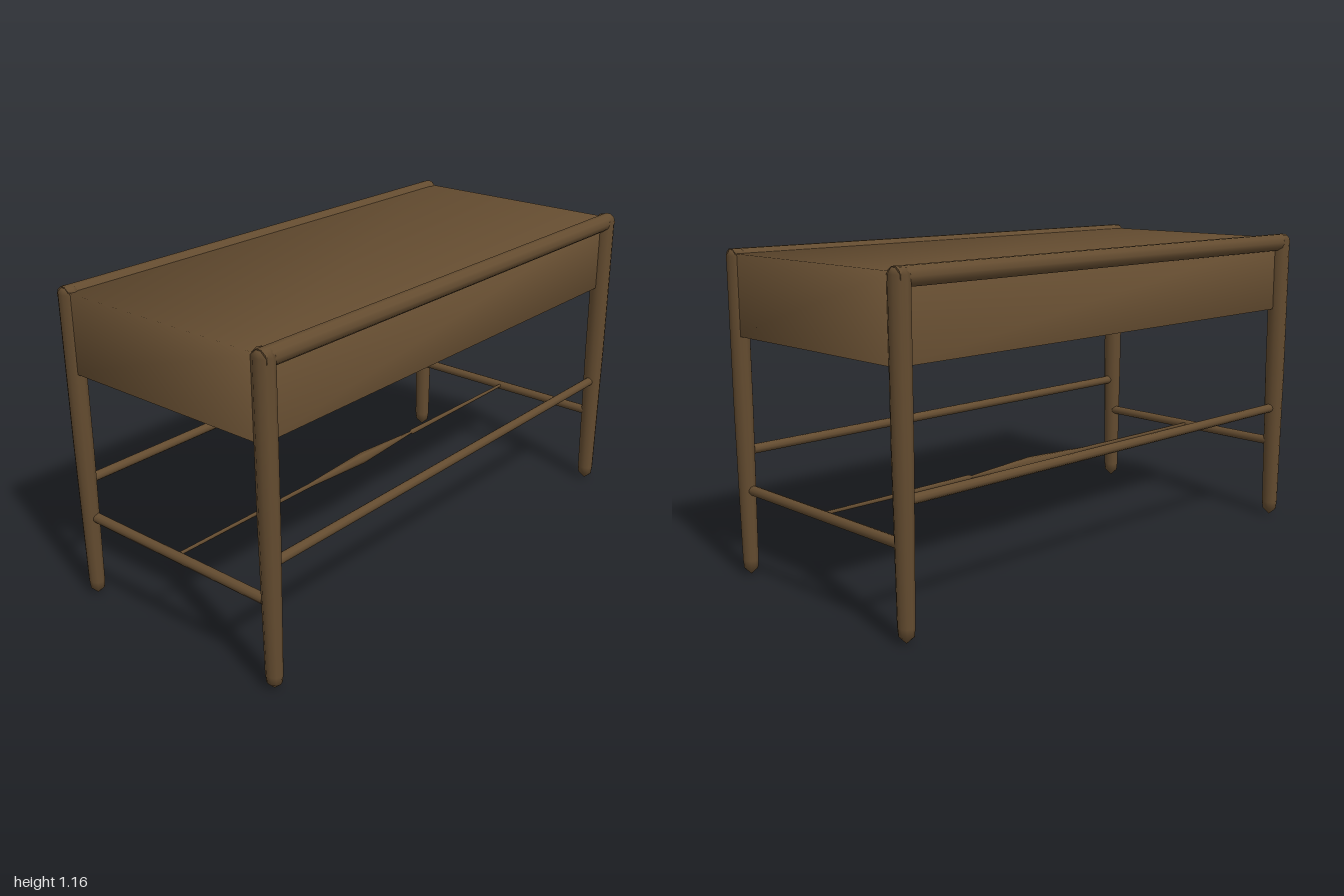
import * as THREE from 'three';
import { mergeVertices } from 'three/addons/utils/BufferGeometryUtils.js';

export function createModel() {
  const model = new THREE.Group();
  model.name = 'table';

  const wood = new THREE.MeshStandardMaterial({ color: 0x644c30, side: THREE.DoubleSide });
  wood.name = 'dark wood';

  const add = (name, geometry, x = 0, y = 0, z = 0) => {
    const mesh = new THREE.Mesh(geometry, wood);
    mesh.name = name;
    mesh.position.set(x, y, z);
    model.add(mesh);
    return mesh;
  };

  // Turned part from [radius, height] points
  const turned = (points, sides) =>
    new THREE.LatheGeometry(points.map(([r, h]) => new THREE.Vector2(r, h)), sides);

  // Rail along x or z
  const rail = (name, axis, radius, length, x, y, z) => {
    const g = new THREE.CylinderGeometry(radius, radius, length, 10);
    if (axis === 'x') g.rotateZ(Math.PI / 2);
    else g.rotateX(Math.PI / 2);
    return add(name, g, x, y, z);
  };

  // Table top and aprons: one thin shell, open underneath, softly shaded
  const box = new THREE.BoxGeometry(1.966, 0.282, 0.88);
  const faces = [...box.index.array];
  box.setIndex([...faces.slice(0, 18), ...faces.slice(24)]); // leave out the underside
  box.deleteAttribute('normal');
  box.deleteAttribute('uv');
  const shell = mergeVertices(box);
  shell.computeVertexNormals();
  add('topAndAprons', shell, 0, 1.007, 0);

  // Tapered legs with blunt pointed feet
  const legProfile = [[0, 0.005], [0.024, 0.03], [0.027, 0.06], [0.033, 0.6], [0.034, 1.14], [0.022, 1.16], [0, 1.163]];
  for (const sx of [-1, 1]) {
    for (const sz of [-1, 1]) {
      const leg = add(sz > 0 ? 'frontLeg' : 'backLeg', turned(legProfile, 10), sx * 0.965, 0, sz * 0.44);
      leg.scale.z = 1.17;
    }
    // End stretchers
    rail('endStretcher', 'z', 0.018, 0.84, sx * 0.96, 0.318, 0);
  }

  // Long top rails and long stretchers
  for (const sz of [-1, 1]) {
    rail('topRail', 'x', 0.033, 1.97, 0, 1.132, sz * 0.442);
    rail('longStretcher', 'x', 0.017, 1.9, 0, 0.459, sz * 0.44);
  }

  // Slim centre stretcher swelling in the middle
  const spindle = turned(
    [[0.006, -0.955], [0.01, -0.31], [0.005, -0.3], [0.014, -0.14], [0.022, 0],
      [0.014, 0.18], [0.008, 0.3], [0.006, 0.955]], 6);
  spindle.rotateZ(Math.PI / 2);
  add('centreStretcher', spindle, 0, 0.321, 0);

  return model;
}
